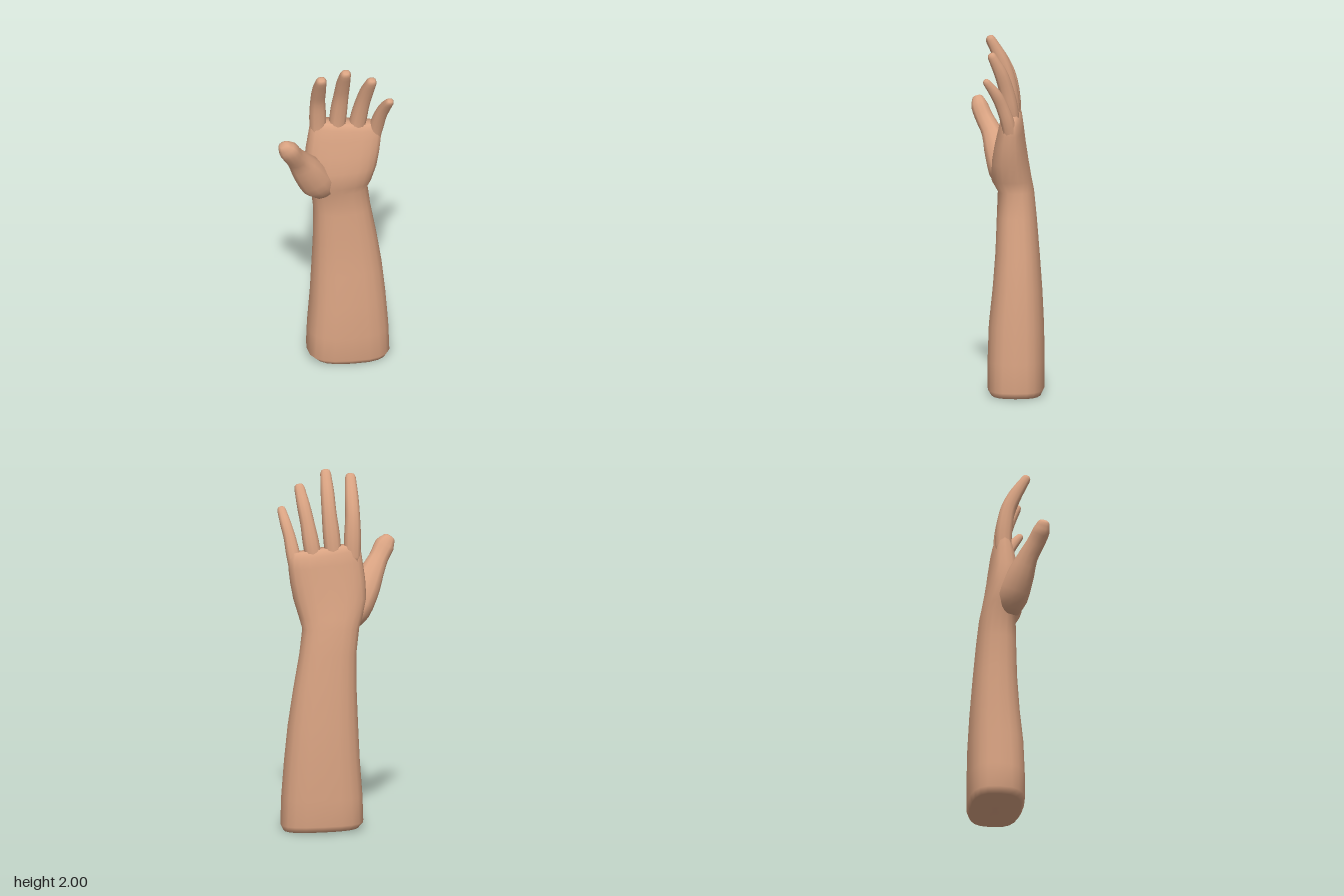
import * as THREE from 'three';

const skin = new THREE.MeshStandardMaterial({ color: 0xd9a382 });

// Closed smooth surface through rings. Each ring: centre, half-axes along u and v, squareness, tilt in x.
function loft(name, rings, sides) {
  const pos = [], index = [], n = rings.length;
  for (const { c, u, v, ru, rv, e = 2, tilt = 0 } of rings) {
    for (let j = 0; j < sides; j++) {
      const a = (j / sides) * Math.PI * 2, co = Math.cos(a), si = Math.sin(a);
      const pu = Math.sign(co) * Math.abs(co) ** (2 / e) * ru;
      const pv = Math.sign(si) * Math.abs(si) ** (2 / e) * rv;
      const p = c.clone().addScaledVector(u, pu).addScaledVector(v, pv);
      pos.push(p.x, p.y + tilt * (p.x - c.x), p.z);
    }
  }
  for (let i = 0; i < n - 1; i++) {
    for (let j = 0; j < sides; j++) {
      const a = i * sides + j, b = i * sides + (j + 1) % sides;
      index.push(a, b, b + sides, a, b + sides, a + sides);
    }
  }
  // end caps
  const first = n * sides, last = first + 1, top = (n - 1) * sides;
  pos.push(...rings[0].c.toArray(), ...rings[n - 1].c.toArray());
  for (let j = 0; j < sides; j++) {
    const k = (j + 1) % sides;
    index.push(first, k, j, last, top + j, top + k);
  }
  const g = new THREE.BufferGeometry();
  g.setAttribute('position', new THREE.Float32BufferAttribute(pos, 3));
  g.setIndex(index);
  g.computeVertexNormals();
  const mesh = new THREE.Mesh(g, skin);
  mesh.name = name;
  return mesh;
}

// Upright body from extents: [y, xMin, xMax, zBack, zFront, squareness, tilt]
function upright(name, rows, sides) {
  const u = new THREE.Vector3(1, 0, 0), v = new THREE.Vector3(0, 0, -1);
  return loft(name, rows.map(([y, x0, x1, z0, z1, e, tilt]) => ({
    c: new THREE.Vector3((x0 + x1) / 2, y, (z0 + z1) / 2),
    u, v, ru: (x1 - x0) / 2, rv: (z1 - z0) / 2, e, tilt,
  })), sides);
}

// Digit swept along a smooth path: [x, y, z, half width, half depth], with a rounded tip
function digit(name, pts, steps = 14) {
  const path = new THREE.CatmullRomCurve3(pts.map(p => new THREE.Vector3(p[0], p[1], p[2])));
  const size = new THREE.CatmullRomCurve3(pts.map(p => new THREE.Vector3(p[3], p[4], 0)));
  const rings = [];
  const add = (t, k, push) => {
    const d = path.getTangent(t), s = size.getPoint(t);
    const u = new THREE.Vector3(1, 0, 0).addScaledVector(d, -d.x).normalize();
    const v = d.clone().cross(u);
    rings.push({ c: path.getPoint(t).addScaledVector(d, push), u, v, ru: s.x * k, rv: s.y * k, e: 2.4 });
  };
  for (let i = 0; i <= steps; i++) add(i / steps, 1, 0);
  add(1, 0.8, 0.016);
  add(1, 0.5, 0.022);
  return loft(name, rings, 12);
}

export function createModel() {
  const group = new THREE.Group();
  group.name = 'forearmAndHand';

  // forearm, wrist and palm in one skin
  group.add(upright('forearmAndPalm', [
    [0.018, -0.10, 0.315, -0.195, 0.085, 2.8, -0.03],
    [0.05, -0.13, 0.33, -0.21, 0.105, 2.8, -0.03],
    [0.2, -0.125, 0.325, -0.21, 0.105, 2.7, 0],
    [0.4, -0.11, 0.31, -0.207, 0.098, 2.6, 0],
    [0.6, -0.10, 0.29, -0.197, 0.077, 2.5, 0],
    [0.8, -0.092, 0.26, -0.182, 0.062, 2.5, 0],
    [1.0, -0.092, 0.225, -0.165, 0.055, 2.5, 0],
    [1.14, -0.108, 0.208, -0.15, 0.05, 2.5, 0],
    [1.2, -0.13, 0.225, -0.138, 0.085, 2.5, 0],
    [1.3, -0.15, 0.255, -0.12, 0.083, 2.6, 0],
    [1.4, -0.143, 0.272, -0.104, 0.066, 2.7, -0.05],
    [1.49, -0.128, 0.282, -0.092, 0.045, 2.8, -0.1],
    [1.55, -0.118, 0.283, -0.083, 0.03, 2.8, -0.14],
    [1.585, -0.108, 0.268, -0.062, 0.012, 2.8, -0.14],
  ], 20));

  // thumb with the fleshy mound at its root
  group.add(digit('thumb', [
    [-0.04, 1.16, 0.0, 0.07, 0.06],
    [-0.09, 1.24, 0.025, 0.095, 0.085],
    [-0.145, 1.34, 0.06, 0.088, 0.075],
    [-0.195, 1.43, 0.095, 0.066, 0.056],
    [-0.235, 1.5, 0.135, 0.054, 0.05],
    [-0.265, 1.555, 0.16, 0.056, 0.048],
    [-0.288, 1.588, 0.17, 0.04, 0.036],
  ]));

  // fingers curling forward: [name, root, middle, tip, scale]
  const fingers = [
    ['indexFinger', [-0.07, 1.5, -0.03], [-0.075, 1.76, -0.005], [-0.072, 1.955, 0.095], 1],
    ['middleFinger', [0.03, 1.5, -0.03], [0.055, 1.78, 0.0], [0.066, 1.982, 0.088], 1],
    ['ringFinger', [0.135, 1.48, -0.03], [0.175, 1.72, 0.0], [0.212, 1.905, 0.075], 0.97],
    ['littleFinger', [0.235, 1.44, -0.03], [0.272, 1.64, 0.02], [0.308, 1.775, 0.1], 0.82],
  ];
  for (const [name, a, m, b, s] of fingers) {
    const mix = (p, q, t, dz) => [p[0] + (q[0] - p[0]) * t, p[1] + (q[1] - p[1]) * t, p[2] + (q[2] - p[2]) * t + dz];
    group.add(digit(name, [
      [...a, 0.046 * s, 0.046 * s],
      [...mix(a, m, 0.5, -0.008), 0.047 * s, 0.046 * s],
      [...m, 0.041 * s, 0.042 * s],
      [...mix(m, b, 0.5, -0.008), 0.038 * s, 0.038 * s],
      [...b, 0.03 * s, 0.026 * s],
    ]));
  }
  return group;
}
